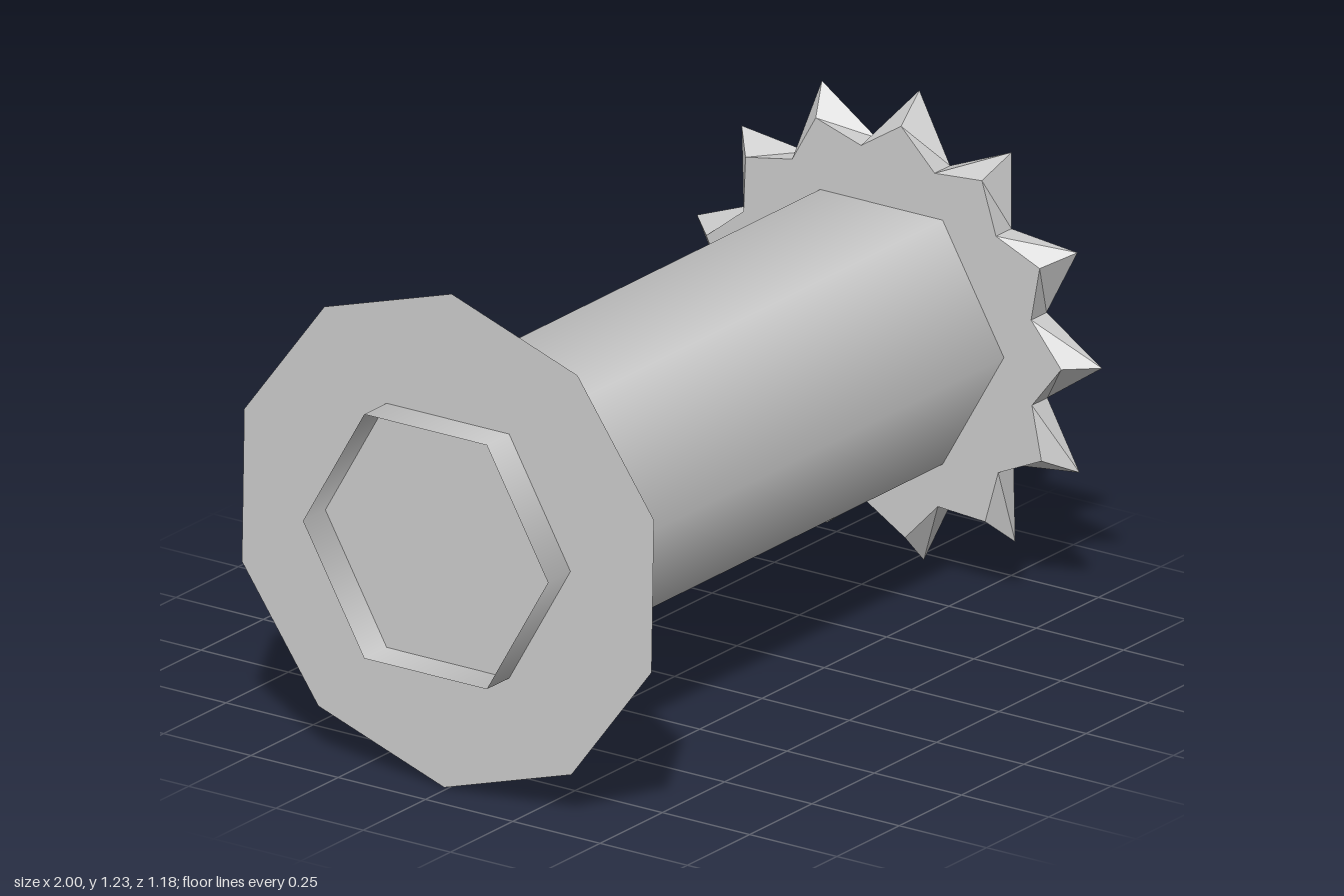
import * as THREE from 'three';

const AXIS_Y = 0.62;
const deg = THREE.MathUtils.degToRad;

// Lay a y-axis geometry along +x; angle = first corner, measured from +y towards +z.
function alongX(geometry, angle) {
  return geometry.rotateY(deg(angle - 90)).rotateZ(-Math.PI / 2);
}

function addPart(group, name, geometry, x, options = {}) {
  const material = new THREE.MeshStandardMaterial({ color: 0xcccccc, ...options });
  const mesh = new THREE.Mesh(geometry, material);
  mesh.name = name;
  mesh.position.set(x, AXIS_Y, 0);
  group.add(mesh);
}

// Toothed wheel: alternate rim corners become tips and valleys, the inner side has shorter teeth.
function toothedWheel(teeth, depth, tipOuter, tipInner, valley) {
  const geometry = new THREE.CylinderGeometry(1, 1, depth, teeth * 2);
  const pos = geometry.attributes.position;
  for (let i = 0; i < pos.count; i++) {
    const x = pos.getX(i), y = pos.getY(i), z = pos.getZ(i);
    const corner = Math.round((Math.atan2(x, z) / Math.PI) * teeth);
    const tip = y > 0 ? tipOuter : tipInner;
    const r = corner % 2 === 0 ? tip : valley;
    pos.setXYZ(i, x * r, y, z * r);
  }
  const flat = geometry.toNonIndexed();
  flat.computeVertexNormals();
  return flat;
}

export function createModel() {
  const group = new THREE.Group();
  group.name = 'spool';

  // Open six-sided tube with smooth normals
  const tube = new THREE.CylinderGeometry(0.351, 0.351, 2, 6, 1, true);
  addPart(group, 'tube', alongX(tube, 90), 0, { side: THREE.DoubleSide });

  // Ten-sided flange, flat outside and conical towards the tube
  const flange = new THREE.CylinderGeometry(0.27, 0.617, 0.15, 10);
  addPart(group, 'flange', alongX(flange, 1), -0.835);

  // Thirteen-toothed wheel, solid across the tube
  const wheel = toothedWheel(13, 0.062, 0.588, 0.515, 0.443);
  addPart(group, 'toothedWheel', alongX(wheel, 6.3), 0.86, { flatShading: true });

  return group;
}
